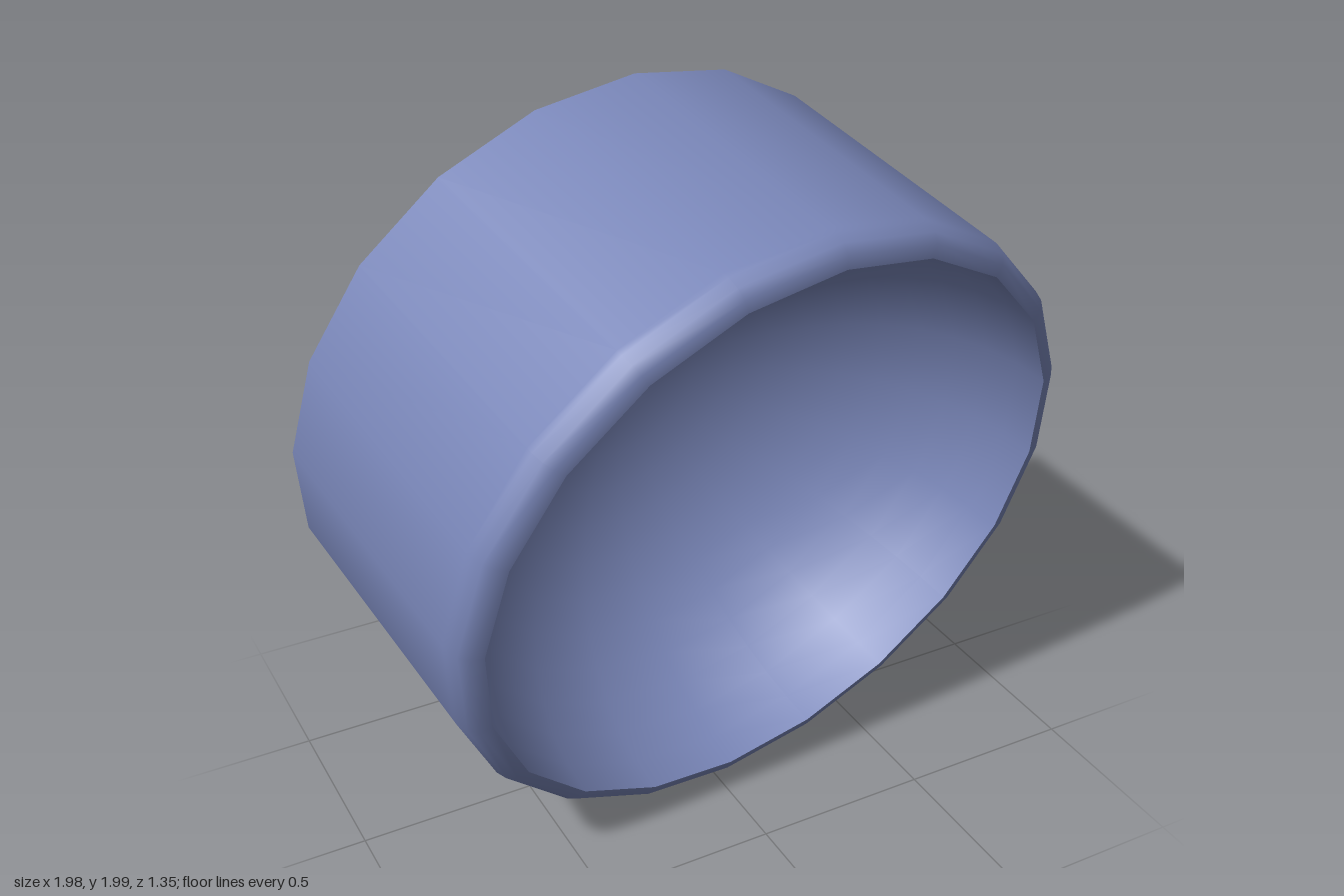
import * as THREE from 'three';

const SIDES = 20;
const RADIUS = 0.945;    // outer wall
const MOUTH = 0.878;     // opening
const WALL = 0.835;      // height where the rounded lip starts
const RIM = 0.9;         // height of the opening
const DEPTH = 0.76;      // depth of the hollow

export function createModel() {
  const group = new THREE.Group();
  group.name = 'tiltedCup';
  const material = new THREE.MeshStandardMaterial({ color: 0x7986b8 });

  // Tilted frame: the rings lie square to n, the wall runs along the slightly leaning axis
  const n = new THREE.Vector3(0.109, -0.238, 0.965).normalize();
  const up = new THREE.Vector3(0, 1, 0).addScaledVector(n, -n.y).normalize();
  const side = new THREE.Vector3().crossVectors(n, up);
  const axis = new THREE.Vector3(0.12, -0.188, 0.976);
  const tilt = new THREE.Matrix4().makeBasis(side, axis, up).setPosition(-0.05, 1.0825, -0.435);

  const addTurned = (name, profile) => {
    const points = profile.map(([r, h]) => new THREE.Vector2(r, h));
    const geometry = new THREE.LatheGeometry(points, SIDES).applyMatrix4(tilt);
    const mesh = new THREE.Mesh(geometry, material);
    mesh.name = name;
    group.add(mesh);
  };

  // Flat closed back
  addTurned('back', [[0, 0], [RADIUS, 0]]);

  // Straight wall with a rounded lip
  addTurned('wall', [
    [RADIUS, 0], [RADIUS, WALL - 0.02], [RADIUS, WALL],
    [0.934, 0.868], [0.912, 0.892], [MOUTH, RIM],
  ]);

  // Smooth bowl-shaped hollow
  const bowl = [];
  for (let i = 0; i <= 12; i++) {
    const a = (i / 12) * Math.PI / 2;
    bowl.push([i === 12 ? 0 : MOUTH * Math.cos(a), RIM - DEPTH * Math.sin(a)]);
  }
  addTurned('hollow', bowl);

  return group;
}
